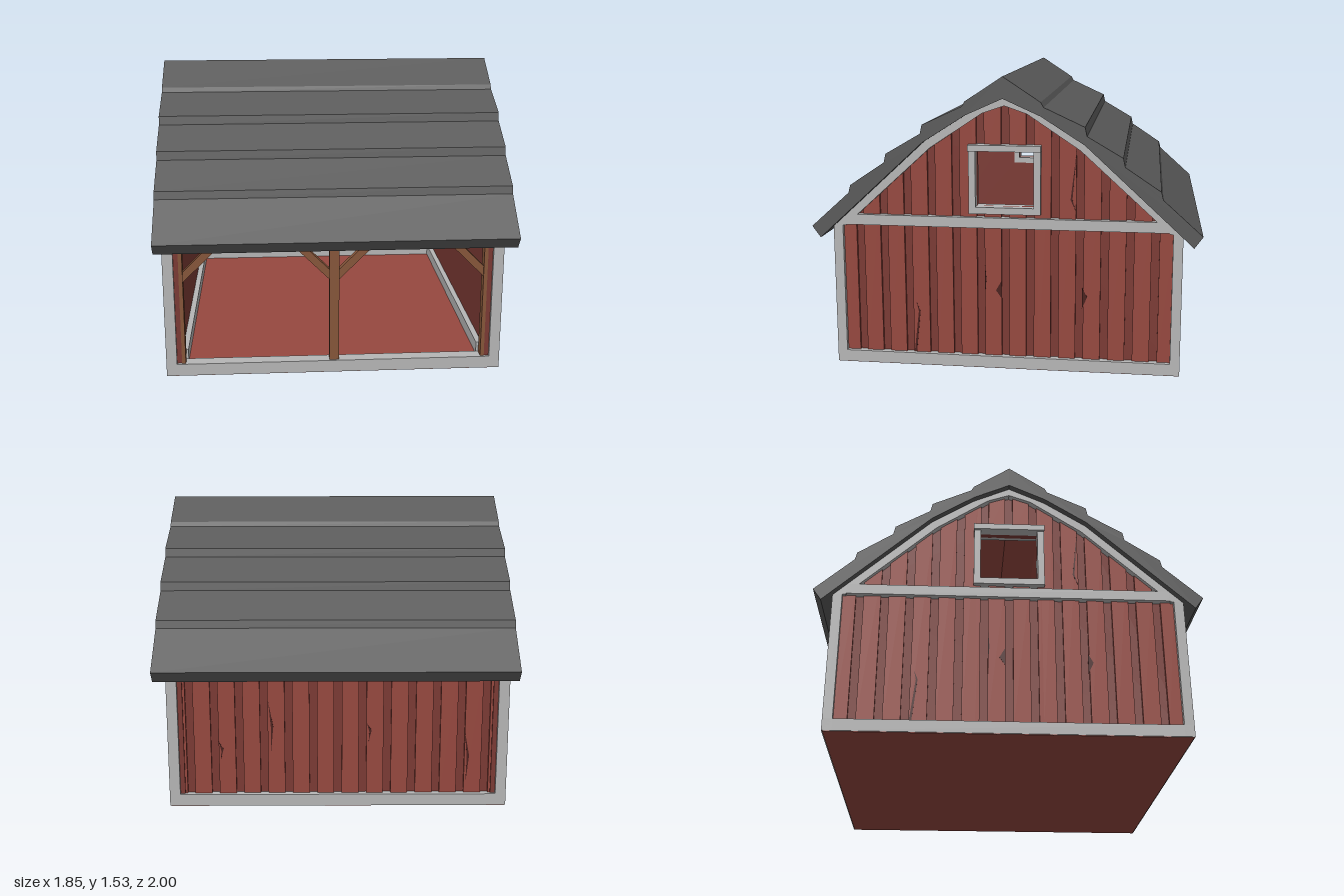
import * as THREE from 'three';

const mat = (color) => new THREE.MeshStandardMaterial({ color, flatShading: true });
const RED = mat(0x96483f), DARK_RED = mat(0x7b3a34), CRACK = mat(0x4a211e);
const TRIM = mat(0xb6b6b6), ROOF = mat(0x5a5a5a), WOOD = mat(0x86563a);

// Half profiles as [z, y], from ridge to eave
const UNDER = [[0, 1.425], [0.19, 1.34], [0.41, 1.2], [0.9, 0.748]];
const TRIM_IN = [[0, 1.385], [0.115, 1.345], [0.385, 1.165], [0.84, 0.75]];
const LINING = [[0, 1.37], [0.17, 1.27], [0.37, 1.08], [0.78, 0.69]];
const SHINGLES = [[0, 1.535], [0.19, 1.41], [0.205, 1.385], [0.41, 1.29], [0.42, 1.245],
  [0.6, 1.14], [0.61, 1.095], [0.79, 0.975], [0.8, 0.935], [1, 0.755], [0.957, 0.695]];

const W = 0.88, D = 0.905;            // half width and half depth of the body
const PITCH = 0.128, GROOVE = 0.02;   // board spacing and half groove

// Mirrored half profile, running from -z eave over the ridge to +z eave
const arch = (half) => [
  ...half.slice(1).reverse().map(([z, y]) => [-z, y]), ...half];

// Height of a half profile at a given z
function heightAt(half, z) {
  const a = Math.abs(z);
  for (let i = 1; i < half.length; i++) {
    const [z0, y0] = half[i - 1], [z1, y1] = half[i];
    if (a <= z1) return y0 + (y1 - y0) * (a - z0) / (z1 - z0);
  }
  return half[half.length - 1][1];
}

function add(group, name, geometry, material) {
  const mesh = new THREE.Mesh(geometry, material);
  mesh.name = name;
  group.add(mesh);
  return mesh;
}

// Box given by its limits
function box(group, name, material, x0, x1, y0, y1, z0, z1) {
  const g = new THREE.BoxGeometry(x1 - x0, y1 - y0, z1 - z0);
  g.translate((x0 + x1) / 2, (y0 + y1) / 2, (z0 + z1) / 2);
  return add(group, name, g, material);
}

// Prism with a [z, y] outline, running along x
function prism(group, name, material, pts, x0, x1, holes = []) {
  const toV = (list) => list.map(([z, y]) => new THREE.Vector2(-z, y));
  const shape = new THREE.Shape(toV(pts));
  shape.holes = holes.map((h) => new THREE.Path(toV(h)));
  const g = new THREE.ExtrudeGeometry(shape, { depth: x1 - x0, bevelEnabled: false });
  g.rotateY(Math.PI / 2).translate(x0, 0, 0);
  return add(group, name, g, material);
}

// Boards between a and b along a wall as [start, end] pairs
function boardSpans(limit) {
  const spans = [];
  for (let k = -8; k < 8; k++) {
    const a = Math.max(-limit, k * PITCH + GROOVE);
    const b = Math.min(limit, (k + 1) * PITCH - GROOVE);
    if (b - a > 0.005) spans.push([a, b]);
  }
  return spans;
}

// One gable end, built facing +x
function gableEnd() {
  const g = new THREE.Group();
  const hole = [[-0.15, 0.865], [0.15, 0.865], [0.15, 1.155], [-0.15, 1.155]];
  prism(g, 'gableWall', DARK_RED, [[-0.89, 0.02], ...arch(UNDER.slice(0, 3).concat([[0.89, 0.75]])),
    ...arch(UNDER).slice(7), [0.89, 0.02]], 0.8, 0.842, [hole]);

  // Raised boards, cut around the window
  const board = (z0, z1, low, high) => {
    const top = (z) => Math.min(high, heightAt(TRIM_IN, z) + 0.015);
    const kinks = TRIM_IN.map(([z]) => z).flatMap((z) => [z, -z])
      .filter((z) => z > z0 + 0.001 && z < z1 - 0.001).sort((p, q) => q - p);
    prism(g, 'gableBoard', RED, [[z0, low], [z1, low],
      ...[z1, ...kinks, z0].map((z) => [z, top(z)])], 0.842, 0.857);
  };
  for (const [a, b] of boardSpans(0.86)) {
    const cuts = [a, ...[-0.17, 0.17].filter((c) => c > a && c < b), b];
    for (let i = 1; i < cuts.length; i++) {
      const z0 = cuts[i - 1], z1 = cuts[i];
      if (Math.abs(z0 + z1) / 2 < 0.17) {
        board(z0, z1, 0.05, 0.85);
        board(z0, z1, 1.17, 2);
      } else board(z0, z1, 0.05, 2);
    }
  }
  // Splits in the boards
  const splits = [
    [[0.49, 0.07], [0.478, 0.07], [0.455, 0.29], [0.475, 0.34], [0.464, 0.29]],
    [[0.022, 0.47], [0.05, 0.42], [0.022, 0.38]],
    [[-0.398, 0.45], [-0.425, 0.4], [-0.398, 0.34]],
    [[0.107, 0.56], [0.1, 0.48], [0.107, 0.4]],
    [[-0.365, 1.17], [-0.335, 0.91], [-0.362, 0.85], [-0.345, 0.91]]];
  for (const s of splits) prism(g, 'boardSplit', CRACK, s, 0.855, 0.8585);

  // Pale trim
  prism(g, 'rakeTrim', TRIM, [...arch(UNDER), ...arch(TRIM_IN).reverse()], 0.835, W);
  box(g, 'crossTrim', TRIM, 0.835, W, 0.755, 0.81, -0.835, 0.835);
  box(g, 'sillTrim', TRIM, 0.835, W, 0.003, 0.065, -D, D);
  box(g, 'innerBaseboard', TRIM, 0.77, 0.8, 0.04, 0.115, -0.83, 0.83);
  for (const s of [-1, 1]) {
    const post = box(g, 'cornerPost', TRIM, 0.825, W, 0.003, 0.757, -0.025, 0.025);
    post.position.z = s * (D - 0.025);
    const jamb = box(g, 'windowJamb', TRIM, 0.79, 0.885, 0.83, 1.16, -0.0175, 0.0175);
    jamb.position.z = s * 0.1675;
  }
  box(g, 'windowSill', TRIM, 0.79, 0.885, 0.83, 0.865, -0.15, 0.15);
  box(g, 'windowHead', TRIM, 0.79, 0.9, 1.155, 1.187, -0.187, 0.187);
  return g;
}

function backWall() {
  const g = new THREE.Group();
  g.name = 'backWall';
  box(g, 'backPanel', DARK_RED, -0.84, 0.84, 0.02, 0.775, -0.867, -0.83);
  for (const [a, b] of boardSpans(0.83))
    box(g, 'backBoard', RED, a, b, 0.05, 0.76, -0.882, -0.866);
  box(g, 'backLining', RED, -0.8, 0.8, 0.04, 0.64, -0.831, -0.825);
  box(g, 'backSill', TRIM, -0.84, 0.84, 0.003, 0.065, -D, -0.86);
  box(g, 'backBaseboard', TRIM, -0.8, 0.8, 0.04, 0.115, -0.826, -0.795);
  // Splits in the back boards
  for (const [x, y, h] of [[0.36, 0.42, 0.3], [-0.15, 0.4, 0.1], [-0.66, 0.26, 0.28], [0.62, 0.3, 0.1]]) {
    const s = new THREE.Shape([[0, h / 2], [-0.025, 0.01], [-0.01, -h / 2], [-0.013, 0]]
      .map(([a, b]) => new THREE.Vector2(a, b)));
    const geo = new THREE.ExtrudeGeometry(s, { depth: 0.003, bevelEnabled: false });
    add(g, 'boardSplit', geo.translate(x, y, -0.8835), CRACK);
  }
  return g;
}

function frontFrame() {
  const g = new THREE.Group();
  g.name = 'frontFrame';
  box(g, 'frontSill', TRIM, -0.84, 0.84, 0.003, 0.067, 0.835, D);
  box(g, 'lintel', WOOD, -0.8, 0.8, 0.7, 0.75, 0.845, 0.89);
  box(g, 'centrePost', WOOD, -0.025, 0.025, 0.065, 0.72, 0.843, 0.893);
  // Diagonal braces between the posts and the lintel
  const brace = (x, dir) => {
    const s = new THREE.Shape([[0, 0.515], [0.21, 0.725], [0.155, 0.725], [0, 0.57]]
      .map(([a, b]) => new THREE.Vector2(x + dir * a, b)));
    const geo = new THREE.ExtrudeGeometry(s, { depth: 0.036, bevelEnabled: false });
    add(g, 'brace', geo.translate(0, 0, 0.85), WOOD);
  };
  for (const s of [-1, 1]) {
    box(g, 'sidePost', WOOD, s * 0.79 - 0.01, s * 0.79 + 0.01, 0.065, 0.72, 0.843, 0.893);
    brace(s * 0.025, s);
    brace(s * 0.78, -s);
  }
  return g;
}

export function createModel() {
  const model = new THREE.Group();
  model.name = 'barn';
  const body = new THREE.Group();
  body.name = 'body';
  body.position.x = -0.01;
  model.add(body);

  box(body, 'floor', RED, -0.875, 0.875, 0, 0.05, -0.9, 0.9);

  // Gable ends, the second turned about to face -x
  for (const [name, turn] of [['leftGable', 0], ['rightGable', Math.PI]]) {
    const g = gableEnd();
    g.name = name;
    g.rotation.y = turn;
    body.add(g);
  }
  body.add(backWall(), frontFrame());

  // Red ceiling, reaching down to the back wall
  const inner = arch(LINING);
  inner[0] = [-0.835, 0.63];
  prism(body, 'ceiling', RED, [...arch(UNDER.map(([z, y]) => [Math.min(z, 0.84), y + (z > 0.5 ? 0.04 : 0)])),
    ...inner.reverse()], -0.81, 0.81);

  // Stepped roof
  const under = arch(UNDER).reverse();
  prism(model, 'roof', ROOF, [...arch(SHINGLES), ...under], -0.927, 0.927);
  return model;
}
